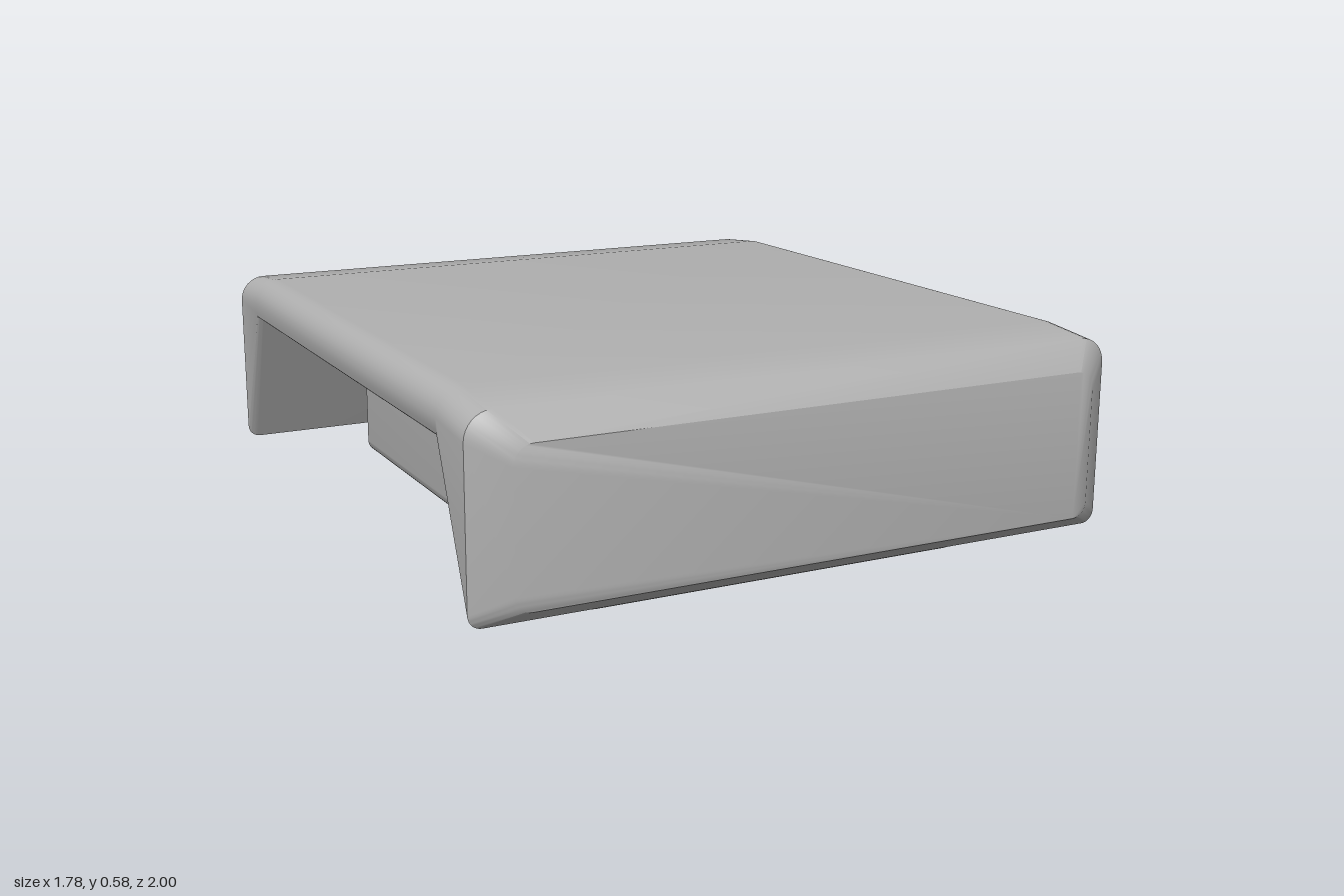
import * as THREE from 'three';
import { toCreasedNormals } from 'three/addons/utils/BufferGeometryUtils.js';

const ARC = 8; // segments per rounded corner

// Rounded rectangle, counter-clockwise seen from +z
function section({ z, half, bottom, top, rBottom, rTop }) {
  const corners = [
    [half, bottom, -1, 1, rBottom, -90],
    [half, top, -1, -1, rTop, 0],
    [-half, top, 1, -1, rTop, 90],
    [-half, bottom, 1, 1, rBottom, 180],
  ];
  const points = [];
  for (const [x, y, sx, sy, r, start] of corners) {
    for (let i = 0; i <= ARC; i++) {
      const a = THREE.MathUtils.degToRad(start + (90 * i) / ARC);
      points.push([x + sx * r + r * Math.cos(a), y + sy * r + r * Math.sin(a), z]);
    }
  }
  return points;
}

// Closed solid through sections ordered from back to front
function loft(sections) {
  const rings = sections.map(section);
  const n = rings[0].length;
  const positions = rings.flat(2);
  const index = [];
  for (let i = 0; i < rings.length - 1; i++) {
    for (let j = 0; j < n; j++) {
      const a = i * n + j, b = i * n + ((j + 1) % n);
      index.push(a, b, b + n, a, b + n, a + n);
    }
  }
  const last = (rings.length - 1) * n;
  for (let j = 1; j < n - 1; j++) {
    index.push(0, j + 1, j);
    index.push(last, last + j, last + j + 1);
  }
  const geometry = new THREE.BufferGeometry();
  geometry.setAttribute('position', new THREE.Float32BufferAttribute(positions, 3));
  geometry.setIndex(index);
  return toCreasedNormals(geometry, THREE.MathUtils.degToRad(42));
}

export function createModel() {
  const group = new THREE.Group();
  const grey = new THREE.MeshStandardMaterial({ color: 0xb0b0b0 });
  grey.name = 'light grey';

  const add = (name, geometry) => {
    const mesh = new THREE.Mesh(geometry, grey);
    mesh.name = name;
    group.add(mesh);
  };

  // Cover: flat top plate that deepens into a wedge-shaped lip at each end
  const frontHalf = [
    { z: 0.76, half: 0.888, bottom: 0.46, top: 0.577, rBottom: 0.02, rTop: 0.07 },
    { z: 0.93, half: 0.888, bottom: 0.057, top: 0.56, rBottom: 0.035, rTop: 0.07 },
    { z: 1.0, half: 0.8, bottom: 0.103, top: 0.492, rBottom: 0.04, rTop: 0.05 },
  ];
  const backHalf = frontHalf.map((s) => ({ ...s, z: -s.z })).reverse();
  add('cover', loft([...backHalf, ...frontHalf]));

  // Core block hanging beneath the cover, lower long edges rounded
  const core = { half: 0.545, bottom: 0, top: 0.48, rBottom: 0.035, rTop: 0.01 };
  add('coreBlock', loft([{ ...core, z: -0.795 }, { ...core, z: 0.795 }]));

  return group;
}
